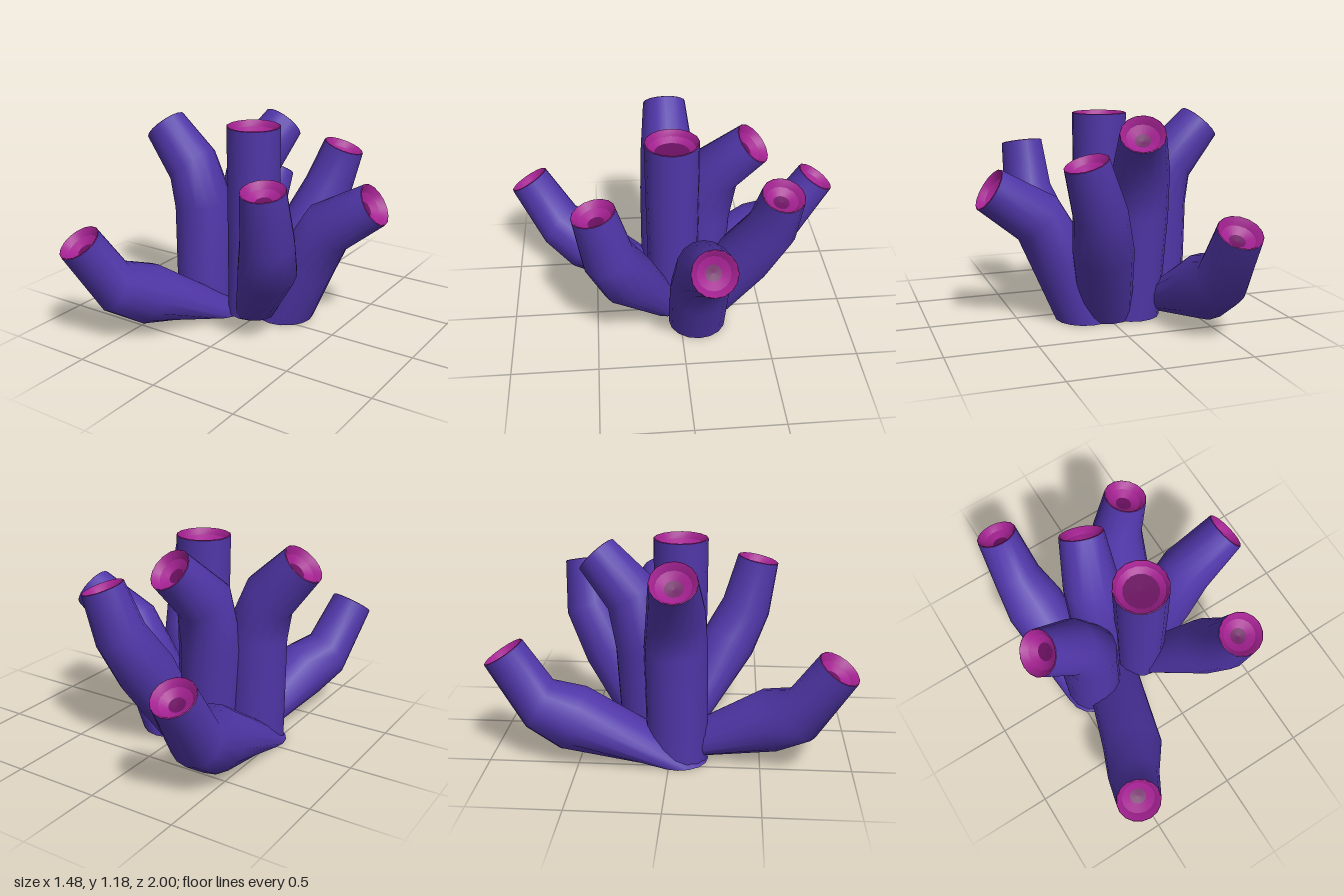
import * as THREE from 'three';

const SIDES = 16;
const UP = new THREE.Vector3(0, 1, 0);

// Some tubes are open underneath, so the skin shows on both sides
const skin = new THREE.MeshStandardMaterial({ color: 0x5036a8, side: THREE.DoubleSide });
skin.name = 'purple skin';
const mouth = new THREE.MeshStandardMaterial({ color: 0xa32191 });
mouth.name = 'magenta mouth';
const hollow = new THREE.MeshStandardMaterial({ color: 0x6a1060 });
hollow.name = 'dark hollow';

// Each branch: name, centre line from ground to tip, radius at each point,
// floor radius, and how far the upper bend's ring turns towards the tip (0 to 1)
const BRANCHES = [
  ['centerTube', [[-0.02, 0.04, 0.035], [-0.02, 0.45, 0.035], [-0.015, 0.8, 0.035], [-0.015, 1.17, 0.035]], [0.15, 0.15, 0.153, 0.155], 0.1, 0.5],
  ['leftFrontTube', [[-0.25, 0.015, 0.08], [-0.4, 0.25, 0.55], [-0.495, 0.335, 0.715], [-0.57, 0.63, 0.89]], [0.165, 0.175, 0.15, 0.123], 0.045, 0.2],
  ['leftBackTube', [[-0.39, 0, 0.05], [-0.44, 0.25, -0.53], [-0.45, 0.335, -0.715], [-0.45, 0.63, -0.9]], [0.165, 0.186, 0.15, 0.123], 0.045, 0.2],
  ['leftSideTube', [[-0.37, 0, 0.04], [-0.375, 0.655, 0.03], [-0.45, 0.88, 0.035], [-0.645, 1.095, 0.035]], [0.17, 0.174, 0.157, 0.127], 0.05, 0.95],
  ['rightSideTube', [[0.12, 0, -0.1], [0.26, 0.36, -0.1], [0.395, 0.605, -0.11], [0.67, 0.785, -0.13]], [0.17, 0.172, 0.16, 0.126], 0.045, 0.6],
  ['rightFrontTube', [[0.02, 0.05, 0.08], [0.255, 0.46, 0.31], [0.32, 0.67, 0.415], [0.335, 0.965, 0.48]], [0.115, 0.165, 0.148, 0.123], 0.045, 0.4],
  ['backTube', [[-0.16, 0, -0.13], [-0.19, 0.6, -0.15], [-0.18, 0.88, -0.22], [-0.105, 1.09, -0.43]], [0.16, 0.172, 0.16, 0.126], 0.045, 0.5],
  ['rightBackTube', [[0, 0, -0.13], [0.1, 0.46, -0.38], [0.165, 0.7, -0.515], [0.25, 0.965, -0.55]], [0.15, 0.17, 0.147, 0.122], 0.045, 0.5],
];

// Skins a row of circles, each { center, normal, radius }
function loft(rings) {
  const position = [];
  const index = [];
  rings.forEach(({ center, normal, radius }, r) => {
    const turn = new THREE.Quaternion().setFromUnitVectors(UP, normal);
    for (let j = 0; j < SIDES; j++) {
      const a = (j / SIDES) * Math.PI * 2;
      const p = new THREE.Vector3(Math.cos(a) * radius, 0, Math.sin(a) * radius);
      p.applyQuaternion(turn).add(center);
      position.push(p.x, p.y, p.z);
      if (r === 0) continue;
      const k = (j + 1) % SIDES;
      const low = (r - 1) * SIDES;
      const high = r * SIDES;
      index.push(low + j, high + j, low + k, low + k, high + j, high + k);
    }
  });
  const geometry = new THREE.BufferGeometry();
  geometry.setAttribute('position', new THREE.Float32BufferAttribute(position, 3));
  geometry.setIndex(index);
  geometry.computeVertexNormals();
  return geometry;
}

function makeBranch([name, path, radii, floorRadius, turnToTip]) {
  const points = path.map((p) => new THREE.Vector3(...p));
  const last = points.length - 1;
  const direction = (i) => points[i + 1].clone().sub(points[i]).normalize();

  // The foot lies flat; the other rings follow the bend
  const normals = [
    UP,
    direction(0).lerp(direction(1), 0.5).normalize(),
    direction(1).lerp(direction(2), turnToTip).normalize(),
    direction(2),
  ];
  const rings = points.map((center, i) => ({ center, normal: normals[i], radius: radii[i] }));
  const foot = rings[0];
  const tip = rings[last];
  const inside = (depth, radius) => ({
    center: tip.center.clone().addScaledVector(tip.normal, -depth),
    normal: tip.normal,
    radius,
  });

  const branch = new THREE.Group();
  branch.name = name;
  const add = (part, material, list) => {
    const mesh = new THREE.Mesh(loft(list), material);
    mesh.name = part;
    branch.add(mesh);
  };
  add('wall', skin, rings);

  // Feet held above the ground close in a shallow cone
  if (foot.center.y > 0) {
    const point = foot.center.clone().setY(0.005);
    add('foot', skin, [{ center: point, normal: UP, radius: 0 }, foot]);
  }

  // Funnel-shaped opening with a slightly raised lip and a dark floor
  const throat = inside(0.035, (tip.radius + floorRadius) / 2 + 0.006);
  const floor = inside(0.06, floorRadius);
  add('lip', mouth, [tip, inside(-0.003, tip.radius * 0.96), throat]);
  add('throat', mouth, [throat, floor]);
  add('hollow', hollow, [floor, inside(0.065, 0)]);
  return branch;
}

export function createModel() {
  const model = new THREE.Group();
  model.name = 'tubeCoral';
  BRANCHES.forEach((b) => model.add(makeBranch(b)));
  return model;
}
